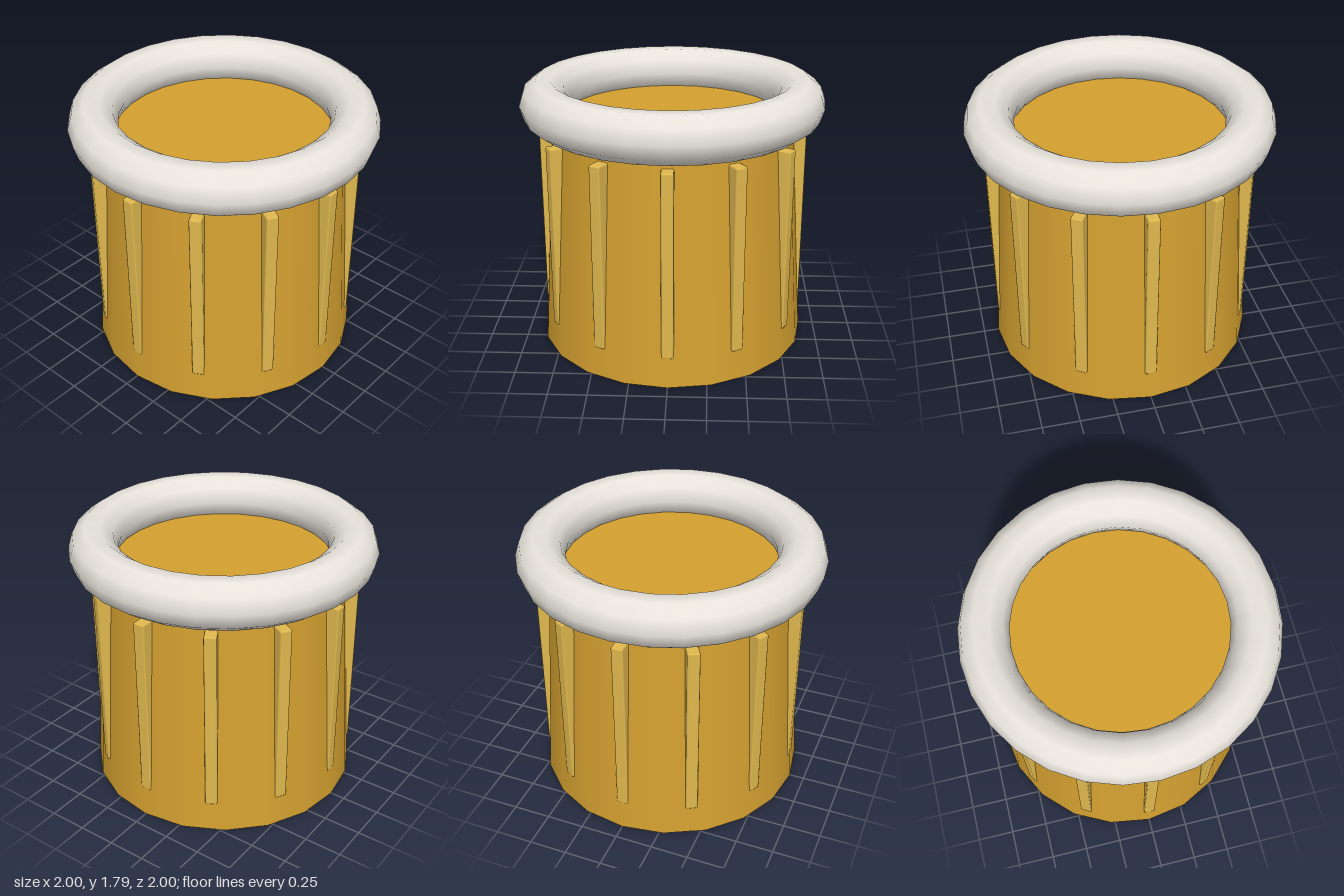
import * as THREE from 'three';
import { RoundedBoxGeometry } from 'three/addons/geometries/RoundedBoxGeometry.js';

export function createModel() {
  const model = new THREE.Group();
  model.name = 'ribbedDrum';

  const add = (name, geometry, color, parent = model) => {
    const mesh = new THREE.Mesh(geometry, new THREE.MeshStandardMaterial({ color }));
    mesh.name = name;
    parent.add(mesh);
    return mesh;
  };

  // Tapered body with closed ends; its top sits inside the rim ring
  const bodyHeight = 1.54;
  add('body', new THREE.CylinderGeometry(0.8, 0.9, bodyHeight, 20), 0xd4a030)
    .position.y = bodyHeight / 2;

  // Padded ring around the top edge
  const rim = add('rim', new THREE.TorusGeometry(0.84, 0.16, 10, 28), 0xe8e4dc);
  rim.rotation.x = Math.PI / 2;
  rim.position.y = 1.64;

  // Upright ribs that sink into the widening body towards the bottom
  const ribs = new THREE.Group();
  ribs.name = 'ribs';
  model.add(ribs);
  const ribGeometry = new RoundedBoxGeometry(0.08, 1.24, 0.12, 1, 0.012);
  ribGeometry.translate(0, 0.82, 0.827);
  for (let i = 0; i < 12; i++) {
    add('rib', ribGeometry, 0xe0b84e, ribs).rotation.y = (i * Math.PI) / 6;
  }

  return model;
}
